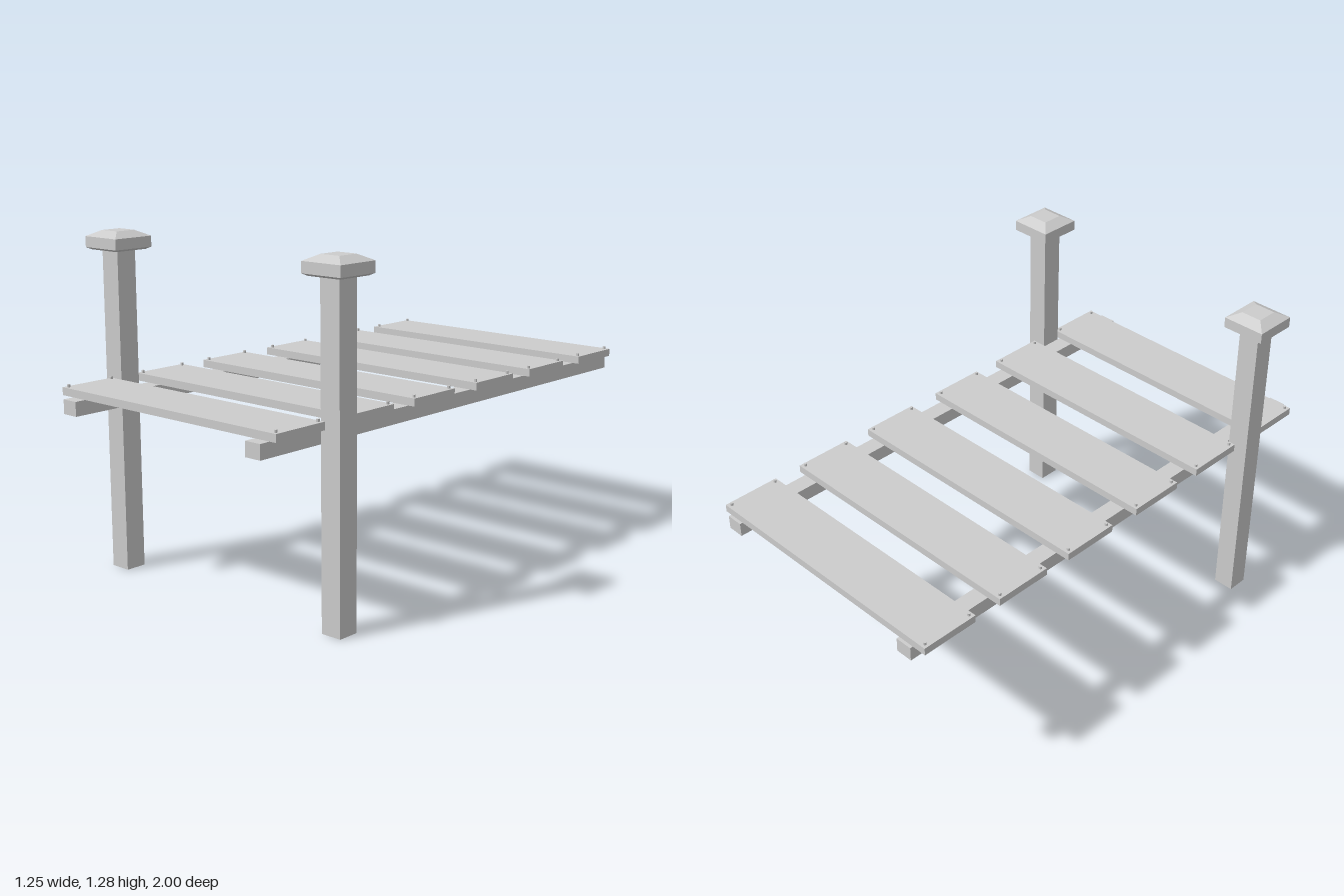
import * as THREE from 'three';

const wood = new THREE.MeshStandardMaterial({ color: 0xcccccc });
wood.name = 'greyWood';
wood.flatShading = true;

// Adds a box given its centre, its base height and its size.
function addBox(parent, name, x, y0, z, w, h, d) {
  const mesh = new THREE.Mesh(new THREE.BoxGeometry(w, h, d), wood);
  mesh.name = name;
  mesh.position.set(x, y0 + h / 2, z);
  parent.add(mesh);
}

// Square profile turned in four steps: a bevelled cap with a flat top.
function capGeometry() {
  const profile = [[0, 0], [0.07, 0], [0.084, 0.008], [0.084, 0.048], [0.041, 0.07], [0, 0.07]];
  const points = profile.map(([r, y]) => new THREE.Vector2(r * Math.SQRT2, y));
  return new THREE.LatheGeometry(points, 4, Math.PI / 4).toNonIndexed();
}

export function createModel() {
  const model = new THREE.Group();
  model.name = 'plankWalkway';

  // Two posts with caps
  const cap = capGeometry();
  cap.computeVertexNormals();
  for (const side of [-1, 1]) {
    const post = new THREE.Group();
    post.name = side > 0 ? 'leftPost' : 'rightPost';
    post.position.set(side * 0.54, 0, 0.688);
    addBox(post, 'postShaft', 0, 0, 0, 0.083, 1.215, 0.083);
    const capMesh = new THREE.Mesh(cap, wood);
    capMesh.name = 'postCap';
    capMesh.position.y = 1.21;
    post.add(capMesh);
    model.add(post);
  }

  // Two long rails under the deck
  addBox(model, 'rightRail', -0.461, 0.652, 0, 0.067, 0.054, 2);
  addBox(model, 'leftRail', 0.455, 0.652, 0, 0.067, 0.054, 2);

  // Unevenly spaced planks, each with a nail at every corner
  const nail = new THREE.CylinderGeometry(0.006, 0.006, 0.01, 8);
  for (const z of [-0.875, -0.536, -0.201, 0.155, 0.494, 0.844]) {
    const plank = new THREE.Group();
    plank.name = 'plank';
    plank.position.set(-0.018, 0.706, z);
    addBox(plank, 'plankBoard', 0, 0, 0, 1.07, 0.029, 0.227);
    for (const sx of [-1, 1]) {
      for (const sz of [-1, 1]) {
        const head = new THREE.Mesh(nail, wood);
        head.name = 'nail';
        head.position.set(sx * 0.519, 0.034, sz * 0.098);
        plank.add(head);
      }
    }
    model.add(plank);
  }
  return model;
}
